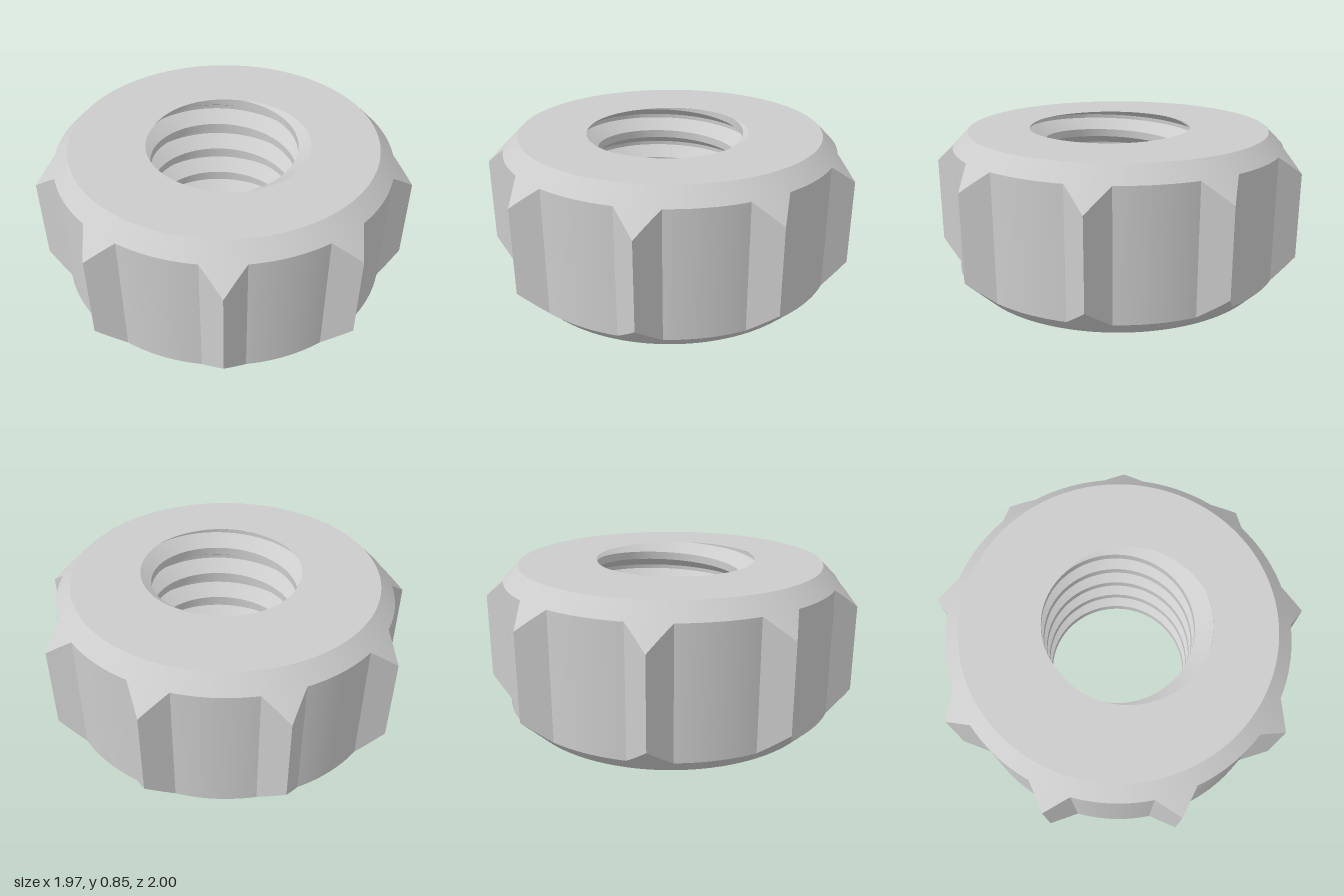
import * as THREE from 'three';
import { toCreasedNormals } from 'three/addons/utils/BufferGeometryUtils.js';

const HEIGHT = 0.845, FACE_R = 0.826, BODY_R = 0.908, TIP_R = 1.0154;
const MINOR_R = 0.4, MAJOR_R = 0.49, PITCH = 0.175;
const TEETH = 9, HALF_TOOTH = THREE.MathUtils.degToRad(7), STEPS = 360;

// Outer radius at an angle: round body with straight-sided pointed teeth
function outerRadius(a) {
  const step = (2 * Math.PI) / TEETH;
  const t = Math.abs(a - Math.round(a / step) * step);
  if (t >= HALF_TOOTH - 1e-6) return BODY_R;
  const bx = BODY_R * Math.cos(HALF_TOOTH), by = BODY_R * Math.sin(HALF_TOOTH);
  return (TIP_R * by) / (by * Math.cos(t) + (TIP_R - bx) * Math.sin(t));
}

// Right-handed helix: height of one groove centre at an angle
const grooveY = (a) => HEIGHT + ((a + Math.PI / 2) / (2 * Math.PI)) * PITCH;

// Trapezoid thread profile
function threadRadius(a, y) {
  const u = (y - grooveY(a)) / PITCH;
  const d = Math.abs(u - Math.round(u));
  const k = THREE.MathUtils.clamp((0.375 - d) / (0.375 - 0.0625), 0, 1);
  return MINOR_R + (MAJOR_R - MINOR_R) * k;
}

// Sweep a column of [radius, y] points, which may vary with the angle, round the axis
function sweep(name, material, column) {
  const pos = [], index = [];
  let n = 0;
  for (let i = 0; i <= STEPS; i++) {
    const a = -Math.PI + (i / STEPS) * 2 * Math.PI;
    const pts = column(a);
    n = pts.length;
    for (const [r, y] of pts) pos.push(r * Math.cos(a), y, -r * Math.sin(a));
  }
  for (let i = 0; i < STEPS; i++) {
    for (let j = 0; j < n - 1; j++) {
      const p = i * n + j, q = p + n;
      index.push(p, q, q + 1, p, q + 1, p + 1);
    }
  }
  const geo = new THREE.BufferGeometry();
  geo.setAttribute('position', new THREE.Float32BufferAttribute(pos, 3));
  geo.setIndex(index);
  const mesh = new THREE.Mesh(toCreasedNormals(geo, 0.5), material);
  mesh.name = name;
  return mesh;
}

// Thread rows follow the helix edges, cut off at both faces, running downward
function threadColumn(a) {
  const pts = [];
  for (let k = 1; k >= -6; k--) {
    for (const f of [0.375, 0.0625, -0.0625, -0.375]) {
      const y = THREE.MathUtils.clamp(grooveY(a) + PITCH * (k + f), 0, HEIGHT);
      pts.push([threadRadius(a, y), y]);
    }
  }
  return pts;
}

export function createModel() {
  const group = new THREE.Group();
  group.name = 'knurledNut';
  const grey = new THREE.MeshStandardMaterial({ color: 0xcccccc });

  group.add(
    // Toothed rim with 45 degree conical chamfers above and below
    sweep('toothedRim', grey, (a) => {
      const r = outerRadius(a), c = r - FACE_R;
      return [[FACE_R, 0], [r, c], [r, HEIGHT - c], [FACE_R, HEIGHT]];
    }),
    // Flat faces, their inner edges following the thread opening
    sweep('topFace', grey, (a) => [[FACE_R, HEIGHT], [threadRadius(a, HEIGHT), HEIGHT]]),
    sweep('bottomFace', grey, (a) => [[threadRadius(a, 0), 0], [FACE_R, 0]]),
    // Threaded bore
    sweep('threadedBore', grey, threadColumn)
  );

  // Centre the odd number of teeth on x
  const offset = -(TIP_R - TIP_R * Math.cos(Math.PI / TEETH)) / 2;
  group.children.forEach((m) => (m.position.x = offset));
  return group;
}
